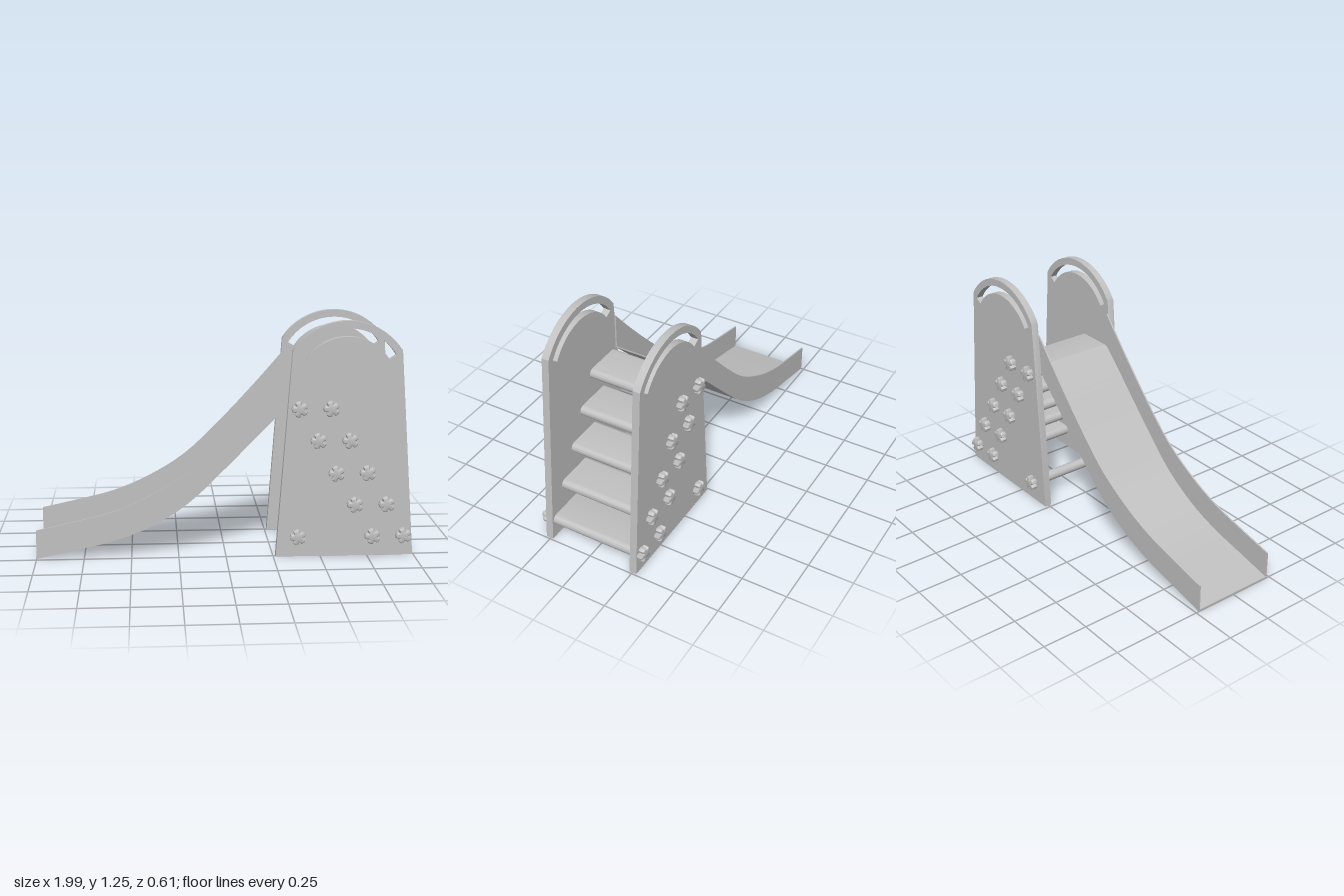
import * as THREE from 'three';
import { toCreasedNormals } from 'three/addons/utils/BufferGeometryUtils.js';

const grey = new THREE.MeshStandardMaterial({ color: 0xc0c0c0 });
grey.name = 'light grey';

// Extrude a side-on shape from z0 to z0 + depth
function slab(name, shape, z0, depth, bevel = {}) {
  const geo = new THREE.ExtrudeGeometry(shape, { depth, bevelEnabled: false, curveSegments: 12, ...bevel });
  geo.translate(0, 0, z0);
  const mesh = new THREE.Mesh(toCreasedNormals(geo, 0.6), grey);
  mesh.name = name;
  return mesh;
}

// Tapered panel with an arched top and a curved handle slot
function panelShape() {
  const cx = 0.627, cy = 0.916, a = Math.atan2(0.184, 0.285), b = 0.56;
  const s = new THREE.Shape();
  s.moveTo(0.262, 0.003);
  s.lineTo(0.994, 0.003);
  s.lineTo(0.912, 1.1);
  s.absarc(cx, cy, 0.339, a, Math.PI - a, false);
  s.lineTo(0.262, 0.003);
  const slot = new THREE.Path();
  slot.absarc(cx, cy, 0.3, b, Math.PI - b, false);
  slot.absarc(cx, cy, 0.257, Math.PI - b, b, true);
  slot.closePath();
  s.holes.push(slot);
  return s;
}

// Rounded bar section between two centres
function barShape(x0, x1, y, r) {
  const s = new THREE.Shape();
  s.absarc(x1, y, r, -Math.PI / 2, Math.PI / 2, false);
  s.absarc(x0, y, r, Math.PI / 2, Math.PI * 1.5, false);
  s.closePath();
  return s;
}

// Five-armed knob outline
function knobShape() {
  const pts = [];
  for (let i = 0; i < 5; i++) {
    const a = 0.6 + i * Math.PI * 0.4;
    for (const [da, r] of [[-0.42, 0.019], [-0.24, 0.034], [0, 0.036], [0.24, 0.034], [0.42, 0.019]]) {
      pts.push(new THREE.Vector2(Math.cos(a + da) * r, Math.sin(a + da) * r));
    }
  }
  return new THREE.Shape(pts);
}

// Slide profile curves
const lower = [[-1, 0], [-0.8, 0.045], [-0.6, 0.09], [-0.4, 0.165], [-0.2, 0.29], [0, 0.48], [0.2, 0.685], [0.34, 0.825]];
const upper = [[-1, 0.156], [-0.8, 0.2], [-0.6, 0.25], [-0.4, 0.335], [-0.2, 0.46], [0, 0.65], [0.2, 0.865], [0.34, 1.026]];
const curve = (pts) => new THREE.SplineCurve(pts.map(([x, y]) => new THREE.Vector2(x, y))).getPoints(28);
const band = (low, high) => new THREE.Shape([...low, ...high.slice().reverse()]);

export function createModel() {
  const model = new THREE.Group();
  model.name = 'playSlide';

  // Side panels
  for (const [name, z] of [['frontPanel', 0.235], ['backPanel', -0.275]]) {
    model.add(slab(name, panelShape(), z, 0.04));
  }

  // Steps, with a knob at both edges of each end
  const levels = [[0.38, 0.545, 0.8], [0.481, 0.647, 0.63], [0.578, 0.743, 0.455], [0.679, 0.847, 0.285], [0.775, 0.941, 0.112]];
  const knobs = [[0.378, 0.112]];
  for (const [x0, x1, y] of levels) {
    model.add(slab('step', barShape(x0 - 0.007, x1 + 0.007, y, 0.029), -0.236, 0.472));
    knobs.push([x0, y], [x1, y]);
  }

  // Lower cross bar under the slide
  const bar = new THREE.Mesh(new THREE.CylinderGeometry(0.029, 0.029, 0.472, 24), grey);
  bar.rotation.x = Math.PI / 2;
  bar.position.set(0.378, 0.112, 0);
  bar.name = 'crossBar';
  model.add(bar);

  // Knobs on both outer faces
  const knob = slab('knob', knobShape(), 0, 0.02, {
    bevelEnabled: true, bevelThickness: 0.012, bevelSize: 0.009, bevelOffset: -0.002, bevelSegments: 3,
  });
  for (const [x, y] of knobs) {
    for (const side of [1, -1]) {
      const k = knob.clone();
      k.position.set(x, y, side * 0.275);
      if (side < 0) {
        k.rotation.y = Math.PI;
      }
      model.add(k);
    }
  }

  // Slide bed and side walls
  const low = curve(lower), high = curve(upper);
  const bedTop = low.map((p) => new THREE.Vector2(p.x, p.y + 0.01));
  model.add(slab('slideBed', band(low, bedTop), -0.233, 0.466));
  for (const z of [0.226, -0.234]) {
    model.add(slab('slideWall', band(low, high), z, 0.008));
  }

  return model;
}
